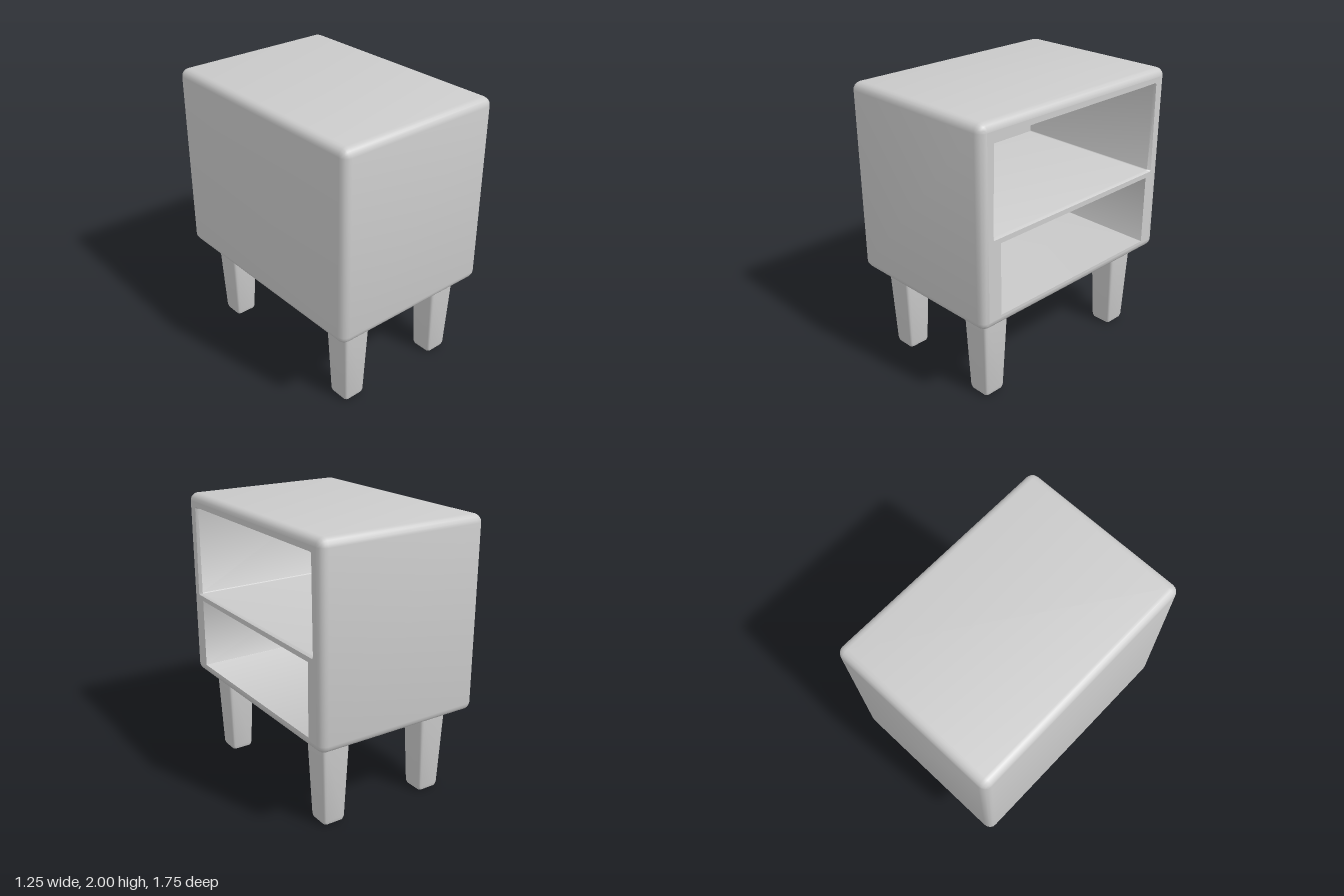
import * as THREE from 'three';
import { toCreasedNormals } from 'three/addons/utils/BufferGeometryUtils.js';

const material = new THREE.MeshStandardMaterial({ color: 0xcccccc });
const CORNER_STEPS = 4;

// Rounded rectangle as a counter-clockwise loop; flare widens its lower edge
function roundedRect(u0, u1, v0, v1, r, flare = 0) {
  const corners = [[u1 - r, v1 - r], [u0 + r, v1 - r], [u0 + r - flare, v0 + r], [u1 - r + flare, v0 + r]];
  const points = [];
  corners.forEach(([u, v], c) => {
    for (let i = 0; i <= CORNER_STEPS; i++) {
      const a = (c + i / CORNER_STEPS) * Math.PI / 2;
      points.push(new THREE.Vector2(u + r * Math.cos(a), v + r * Math.sin(a)));
    }
  });
  return points;
}

// Flat loop collapsed to its centre, used to close an end
function centreOf(loop) {
  const c = loop.reduce((s, p) => s.add(p), new THREE.Vector2()).divideScalar(loop.length);
  return loop.map(() => c);
}

// Skin joining loops [points, level] along local z
function loft(sections) {
  const positions = [], index = [];
  const n = sections[0][0].length;
  sections.forEach(([loop, level]) => loop.forEach((p) => positions.push(p.x, p.y, level)));
  for (let s = 0; s < sections.length - 1; s++) {
    for (let i = 0; i < n; i++) {
      const j = (i + 1) % n;
      const a = s * n + i, b = s * n + j, c = a + n, d = b + n;
      index.push(a, b, c, b, d, c);
    }
  }
  const geometry = new THREE.BufferGeometry();
  geometry.setAttribute('position', new THREE.Float32BufferAttribute(positions, 3));
  geometry.setIndex(index);
  return toCreasedNormals(geometry, 0.6);
}

function addMesh(parent, name, geometry) {
  const mesh = new THREE.Mesh(geometry, material);
  mesh.name = name;
  parent.add(mesh);
  return mesh;
}

export function createModel() {
  const model = new THREE.Group();
  model.name = 'nightstand';

  // Cabinet: local z points out of the open side (+x)
  const cabinet = new THREE.Group();
  cabinet.name = 'cabinet';
  cabinet.rotation.y = Math.PI / 2;
  model.add(cabinet);

  const halfDepth = 0.625, radius = 0.055;
  const outline = (inset) =>
    roundedRect(-0.873 + inset, 0.873 - inset, 0.63 + inset, 2 - inset, radius - inset + 0.002);

  // Outer shell with softly rounded edges
  const bevel = [];
  for (let i = 0; i <= CORNER_STEPS; i++) {
    const a = (i / CORNER_STEPS) * Math.PI / 2;
    bevel.push([radius * (1 - Math.sin(a)), halfDepth - radius + radius * Math.cos(a)]);
  }
  const back = bevel.map(([inset, w]) => [outline(inset), -w]);
  const front = bevel.slice().reverse().map(([inset, w]) => [outline(inset), w]);
  addMesh(cabinet, 'shell', loft([[centreOf(back[0][0]), -halfDepth], ...back, ...front]));

  // Two compartments separated by a thin shelf
  const cavityBack = -0.56;
  const upperMouth = roundedRect(-0.765, 0.77, 1.25, 1.907, 0.012, 0.012);
  const upperInner = roundedRect(-0.757, 0.762, 1.26, 1.9, 0.01);
  const lowerMouth = roundedRect(-0.715, 0.725, 0.705, 1.215, 0.002);
  const compartments = [
    ['upperCompartment', [[upperMouth, halfDepth], [upperInner, halfDepth - 0.02], [upperInner, cavityBack]]],
    ['lowerCompartment', [[lowerMouth, halfDepth], [lowerMouth, cavityBack]]],
  ];
  for (const [name, sections] of compartments) {
    const end = sections[sections.length - 1][0];
    addMesh(cabinet, name, loft([...sections, [centreOf(end), cavityBack]]));
  }

  // Face frame around the openings
  const face = new THREE.Shape(outline(radius));
  face.holes.push(new THREE.Path(upperMouth), new THREE.Path(lowerMouth));
  addMesh(cabinet, 'faceFrame', new THREE.ShapeGeometry(face)).position.z = halfDepth;

  // Four tapered legs with rounded feet
  const square = (h) => roundedRect(-h, h, -h, h, 0.022);
  const legGeometry = loft([
    [centreOf(square(0.065)), 0], [square(0.065), 0], [square(0.077), 0.008],
    [square(0.083), 0.03], [square(0.106), 0.65],
  ]);
  legGeometry.rotateX(-Math.PI / 2);
  for (const [x, sideName] of [[-0.395, 'Right'], [0.415, 'Left']]) {
    for (const [z, endName] of [[0.655, 'front'], [-0.632, 'back']]) {
      addMesh(model, `${endName}${sideName}Leg`, legGeometry).position.set(x, 0, z);
    }
  }
  return model;
}
